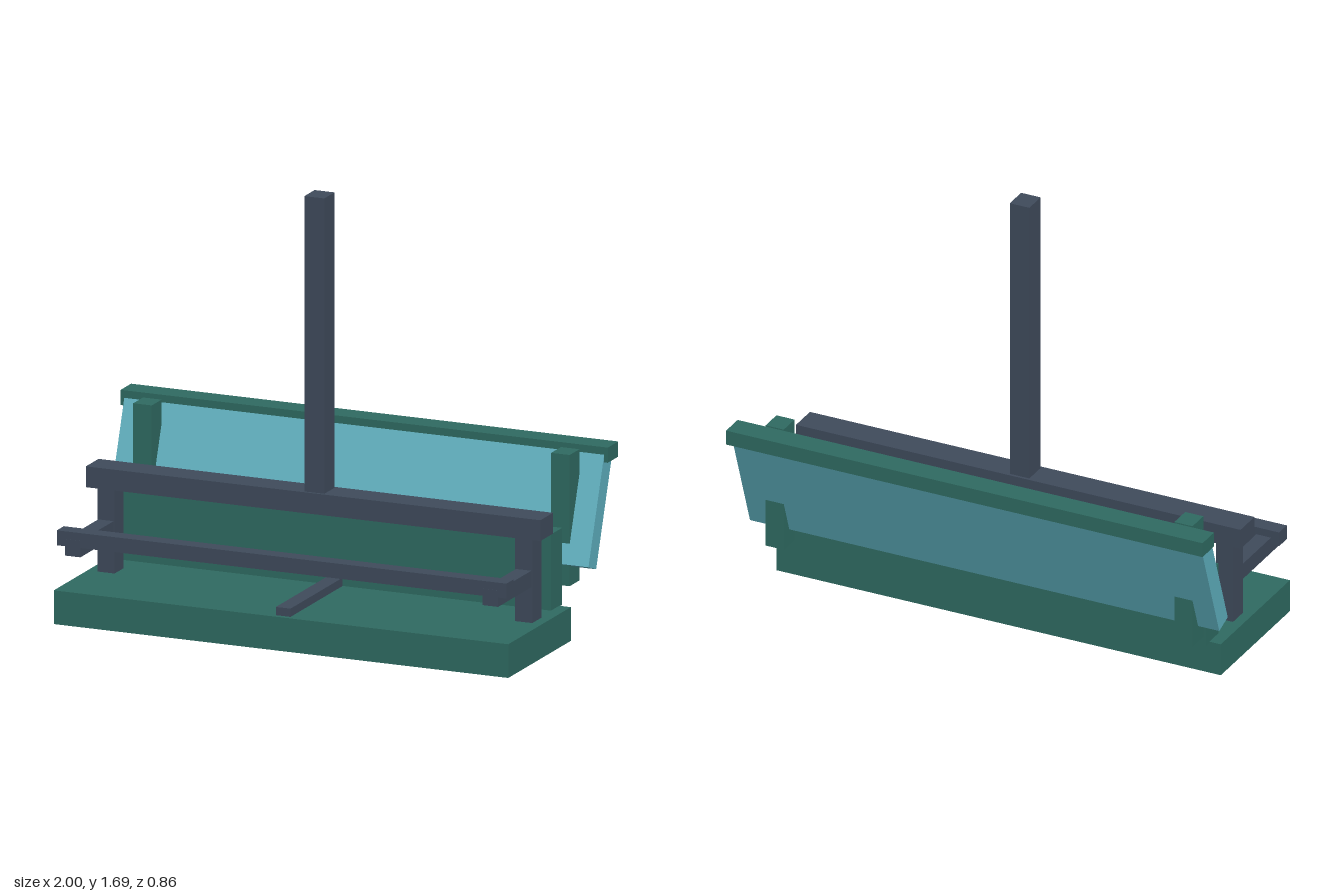
import * as THREE from 'three';

export function createModel() {
  const group = new THREE.Group();
  const paint = (name, color) => {
    const m = new THREE.MeshStandardMaterial({ color });
    m.name = name;
    return m;
  };
  const green = paint('deep green', 0x2f6b62);
  const slate = paint('slate', 0x3f4b5c);
  const teal = paint('light teal', 0x5fb0bf);

  // Axis-aligned block from its [min, max] ranges
  const block = (name, material, [x0, x1], [y0, y1], [z0, z1]) => {
    const mesh = new THREE.Mesh(new THREE.BoxGeometry(x1 - x0, y1 - y0, z1 - z0), material);
    mesh.position.set((x0 + x1) / 2, (y0 + y1) / 2, (z0 + z1) / 2);
    mesh.name = name;
    group.add(mesh);
    return mesh;
  };

  // Base, rear block and the strip along the floor
  block('base', green, [-0.933, 0.933], [0, 0.131], [-0.145, 0.43]);
  block('rearBlock', green, [-0.885, 0.885], [0.128, 0.427], [-0.172, -0.069]);
  block('floorStrip', slate, [-0.03, 0.03], [0.125, 0.163], [-0.075, 0.41]);

  // Cross rail, mast and front bar
  block('crossRail', slate, [-0.933, 0.933], [0.458, 0.539], [0.019, 0.135]);
  block('mast', slate, [-0.041, 0.041], [0.53, 1.687], [0.03, 0.124]);
  block('frontBar', slate, [-0.923, 0.923], [0.306, 0.364], [0.36, 0.424]);

  // Paired supports
  for (const [side, s] of [['left', 1], ['right', -1]]) {
    const span = (a, b) => (s > 0 ? [a, b] : [-b, -a]);
    block(side + 'Post', slate, span(0.822, 0.893), [0.125, 0.465], [0.036, 0.12]);
    block(side + 'Arm', slate, span(0.826, 0.889), [0.27, 0.334], [0.1, 0.425]);
    block(side + 'Strut', green, span(0.82, 0.896), [0.19, 0.70], [-0.307, -0.217]);
  }

  // Panel leaning back, with a cap along its top edge
  const panel = block('tiltedPanel', teal, [-0.985, 0.985], [0.255, 0.685], [-0.3375, -0.2625]);
  panel.position.set(0, 0.47, -0.298);
  panel.rotation.x = -0.344;
  block('panelCap', green, [-1, 1], [0.652, 0.711], [-0.43, -0.334]);

  return group;
}
